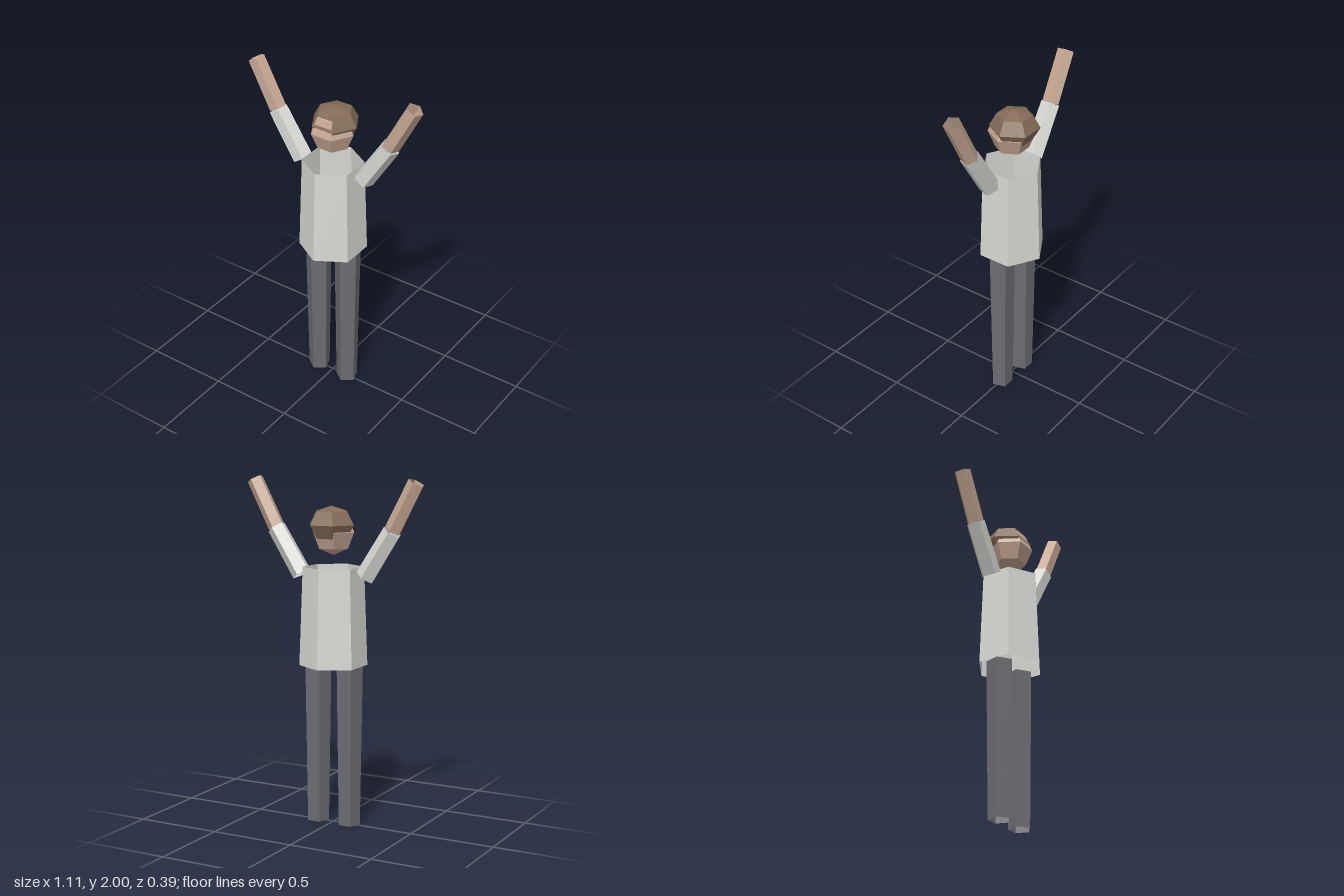
import * as THREE from 'three';

const flat = (name, color, side = THREE.DoubleSide) => {
  const m = new THREE.MeshStandardMaterial({ color, side, flatShading: true });
  m.name = name;
  return m;
};

export function createModel() {
  const model = new THREE.Group();
  model.name = 'figure';
  const shirt = flat('shirt', 0xd8d9d3);
  const trousers = flat('trousers', 0x6c6b71);
  const skin = flat('skin', 0xc6a792);
  const hair = flat('hair', 0x846b57);

  const add = (name, geometry, material) => {
    const mesh = new THREE.Mesh(geometry, material);
    mesh.name = name;
    model.add(mesh);
    return mesh;
  };

  // Open tapered prism running from point a to point b
  const limb = (name, a, b, rA, rB, sides, turn, material) => {
    const from = new THREE.Vector3(...a), to = new THREE.Vector3(...b);
    const dir = to.clone().sub(from);
    const geometry = new THREE.CylinderGeometry(rB, rA, dir.length(), sides, 1, true, turn);
    const mesh = add(name, geometry, material);
    mesh.position.copy(from).add(to).multiplyScalar(0.5);
    mesh.rotation.z = -Math.atan2(dir.x, dir.y);
  };

  // Torso: six-sided open tunic
  limb('torso', [0, 0.93, 0], [0, 1.495, 0], 0.195, 0.174, 6, 0, shirt);

  // Legs and raised arms, mirrored
  for (const [side, s] of [['left', 1], ['right', -1]]) {
    limb(side + 'Leg', [s * 0.102, 0, 0], [s * 0.102, 0.93, 0], 0.065, 0.079, 5, 0, trousers);
    limb(side + 'Sleeve', [s * 0.204, 1.446, 0], [s * 0.371, 1.706, 0], 0.059, 0.056, 5, Math.PI, shirt);
    limb(side + 'Forearm', [s * 0.372, 1.71, 0], [s * 0.513, 1.978, 0], 0.05, 0.049, 5, Math.PI, skin);
  }

  // Head, with a flattened cap of hair set slightly back
  const head = add('head', new THREE.SphereGeometry(0.132, 6, 4), skin);
  head.position.set(0, 1.694, 0);
  const cap = add('hair', new THREE.SphereGeometry(0.14, 6, 4), hair);
  cap.scale.y = 0.75;
  cap.position.set(0, 1.735, -0.02);

  return model;
}
